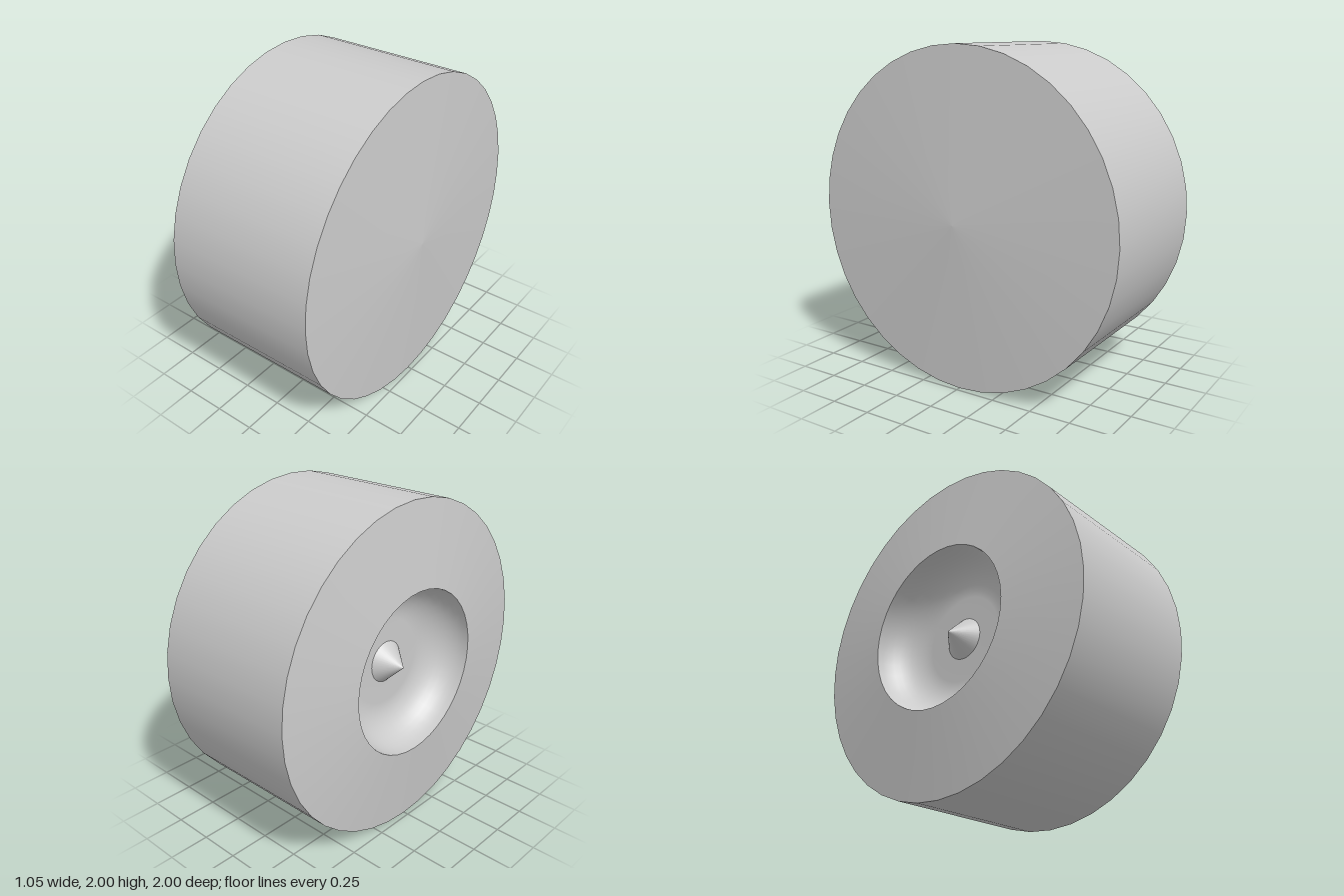
import * as THREE from 'three';

const SIDES = 40;

export function createModel() {
  const group = new THREE.Group();
  group.name = 'roller';
  const material = new THREE.MeshStandardMaterial({ color: 0xcccccc });

  // Turned surface about the x axis; points are [radius, x], one mesh per smooth zone
  const turned = (name, points) => {
    const geometry = new THREE.LatheGeometry(points.map(([r, x]) => new THREE.Vector2(r, x)), SIDES);
    geometry.rotateZ(-Math.PI / 2);
    const mesh = new THREE.Mesh(geometry, material);
    mesh.name = name;
    mesh.position.y = 1;
    group.add(mesh);
  };

  const rimX = -0.53, floorX = -0.295, rimRadius = 0.5;
  const fillet = rimX - floorX; // negative: the bowl curves out towards -x

  // Flat bowl floor with a quarter-round wall rising to the rim
  const bowl = [[0.127, floorX]];
  for (let i = 0; i <= 10; i++) {
    const a = (i / 10) * Math.PI / 2;
    bowl.push([rimRadius + fillet * (1 - Math.sin(a)), rimX - fillet * Math.cos(a)]);
  }

  turned('centrePoint', [[0, -0.43], [0.127, floorX]]);
  turned('recessBowl', bowl);
  turned('recessedFace', [[rimRadius, rimX], [1, -0.47]]);
  turned('outerWall', [[1, -0.47], [1, 0.473]]);
  turned('domedFace', [[1, 0.473], [0, 0.525]]);

  return group;
}
